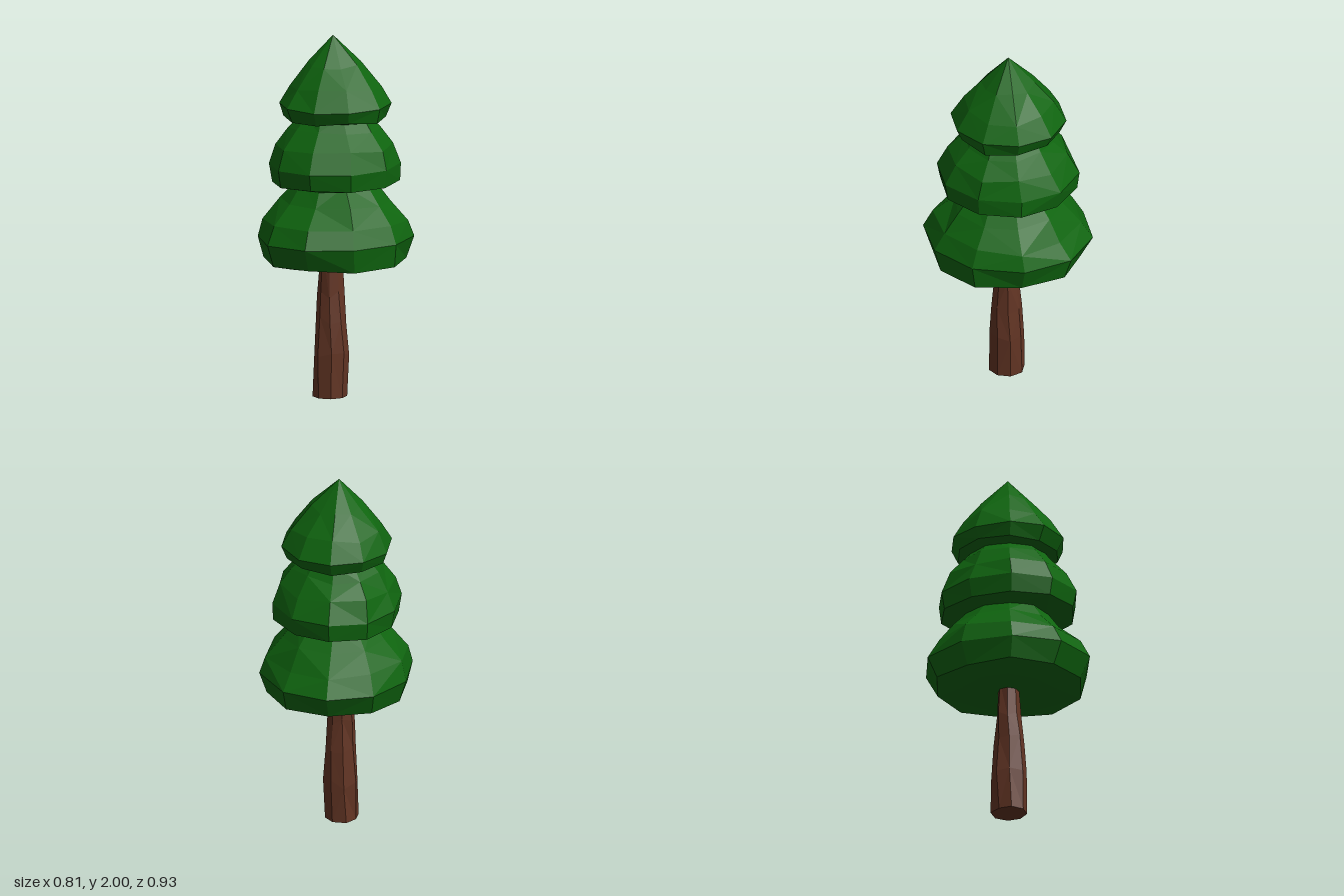
import * as THREE from 'three';

const SIDES = 10;

// Small repeatable noise in the range -1..1
function makeNoise(seed) {
  let s = seed;
  return () => {
    s = (s * 16807) % 2147483647;
    return (s / 2147483647) * 2 - 1;
  };
}

// Closed, faceted skin over rings of points, with a centre point at each end
function skin(rings, bottom, top) {
  const pos = [], idx = [];
  const n = rings[0].length;
  rings.forEach(ring => ring.forEach(p => pos.push(...p)));
  const b = rings.length * n, t = b + 1;
  pos.push(...bottom, ...top);
  for (let r = 0; r < rings.length - 1; r++) {
    for (let i = 0; i < n; i++) {
      const j = (i + 1) % n;
      const p = r * n + i, q = r * n + j, u = p + n, v = q + n;
      // vary the diagonals for a hand-cut look
      if ((i * 3 + r) % 2) idx.push(p, u, q, q, u, v);
      else idx.push(p, u, v, p, v, q);
    }
  }
  const last = (rings.length - 1) * n;
  for (let i = 0; i < n; i++) {
    const j = (i + 1) % n;
    idx.push(b, i, j, last + i, t, last + j);
  }
  const g = new THREE.BufferGeometry();
  g.setAttribute('position', new THREE.Float32BufferAttribute(pos, 3));
  g.setIndex(idx);
  const flat = g.toNonIndexed();
  flat.computeVertexNormals();
  return flat;
}

// Foliage tier from levels of [y, half width in x, half depth in z, roughness]
function tierGeometry(levels, bottomY, topY, seed) {
  const noise = makeNoise(seed);
  const rings = levels.map(([y, rx, rz, rough]) => {
    const ring = [];
    for (let i = 0; i < SIDES; i++) {
      const a = Math.PI / 2 + (i / SIDES) * Math.PI * 2;
      const k = 1 + noise() * rough;
      const c = Math.cos(a), s = Math.sin(a);
      ring.push([
        (c * rx * k) / Math.cos(Math.PI / SIDES) - 0.02 * Math.abs(s),
        y + noise() * rough * 0.35,
        s * rz * k,
      ]);
    }
    return ring;
  });
  return skin(rings, [-0.01, bottomY, 0], [-0.02, topY, 0]);
}

// Trunk from levels of [y, min x, max x, min z, max z]
function trunkGeometry(levels) {
  const noise = makeNoise(77);
  const n = 8;
  const rings = levels.map(([y, x0, x1, z0, z1], r) => {
    const ring = [];
    for (let i = 0; i < n; i++) {
      const a = ((i + 0.5) / n) * Math.PI * 2 + r * 0.06;
      const k = 1.05 + noise() * 0.08;
      ring.push([
        (x0 + x1) / 2 + Math.cos(a) * k * (x1 - x0) / 2,
        r === 0 ? 0 : y + noise() * 0.03,
        (z0 + z1) / 2 + Math.sin(a) * k * (z1 - z0) / 2,
      ]);
    }
    return ring;
  });
  return skin(rings, [-0.03, 0, 0.015], [-0.03, 0.85, 0.01]);
}

export function createModel() {
  const model = new THREE.Group();
  model.name = 'pineTree';

  const leaf = new THREE.MeshStandardMaterial({ color: 0x0f650f });
  leaf.name = 'pine green';
  const bark = new THREE.MeshStandardMaterial({ color: 0x633524 });
  bark.name = 'bark brown';

  const add = (name, geometry, material) => {
    const mesh = new THREE.Mesh(geometry, material);
    mesh.name = name;
    model.add(mesh);
  };

  // Trunk, narrowing upward and ending inside the foliage
  add('trunk', trunkGeometry([
    [0, -0.125, 0.06, -0.08, 0.11],
    [0.22, -0.12, 0.068, -0.083, 0.1],
    [0.42, -0.11, 0.055, -0.068, 0.095],
    [0.58, -0.1, 0.04, -0.055, 0.075],
    [0.8, -0.08, 0.03, -0.045, 0.06],
  ]), bark);

  // Three overlapping foliage tiers
  add('lowerFoliage', tierGeometry([
    [0.735, 0.24, 0.26, 0.03],
    [0.765, 0.375, 0.41, 0.03],
    [0.885, 0.4, 0.465, 0.01],
    [0.985, 0.365, 0.4, 0.04],
    [1.09, 0.285, 0.3, 0.04],
    [1.2, 0.2, 0.21, 0.03],
  ], 0.73, 1.25, 11), leaf);

  add('middleFoliage', tierGeometry([
    [1.17, 0.22, 0.22, 0.02],
    [1.195, 0.325, 0.37, 0.025],
    [1.29, 0.337, 0.39, 0.01],
    [1.4, 0.305, 0.325, 0.04],
    [1.49, 0.235, 0.25, 0.04],
    [1.57, 0.17, 0.19, 0.03],
  ], 1.165, 1.6, 23), leaf);

  add('upperFoliage', tierGeometry([
    [1.535, 0.2, 0.2, 0.02],
    [1.55, 0.265, 0.285, 0.025],
    [1.62, 0.287, 0.32, 0.015],
    [1.73, 0.235, 0.25, 0.04],
    [1.85, 0.135, 0.145, 0.05],
  ], 1.53, 2, 41), leaf);

  return model;
}
